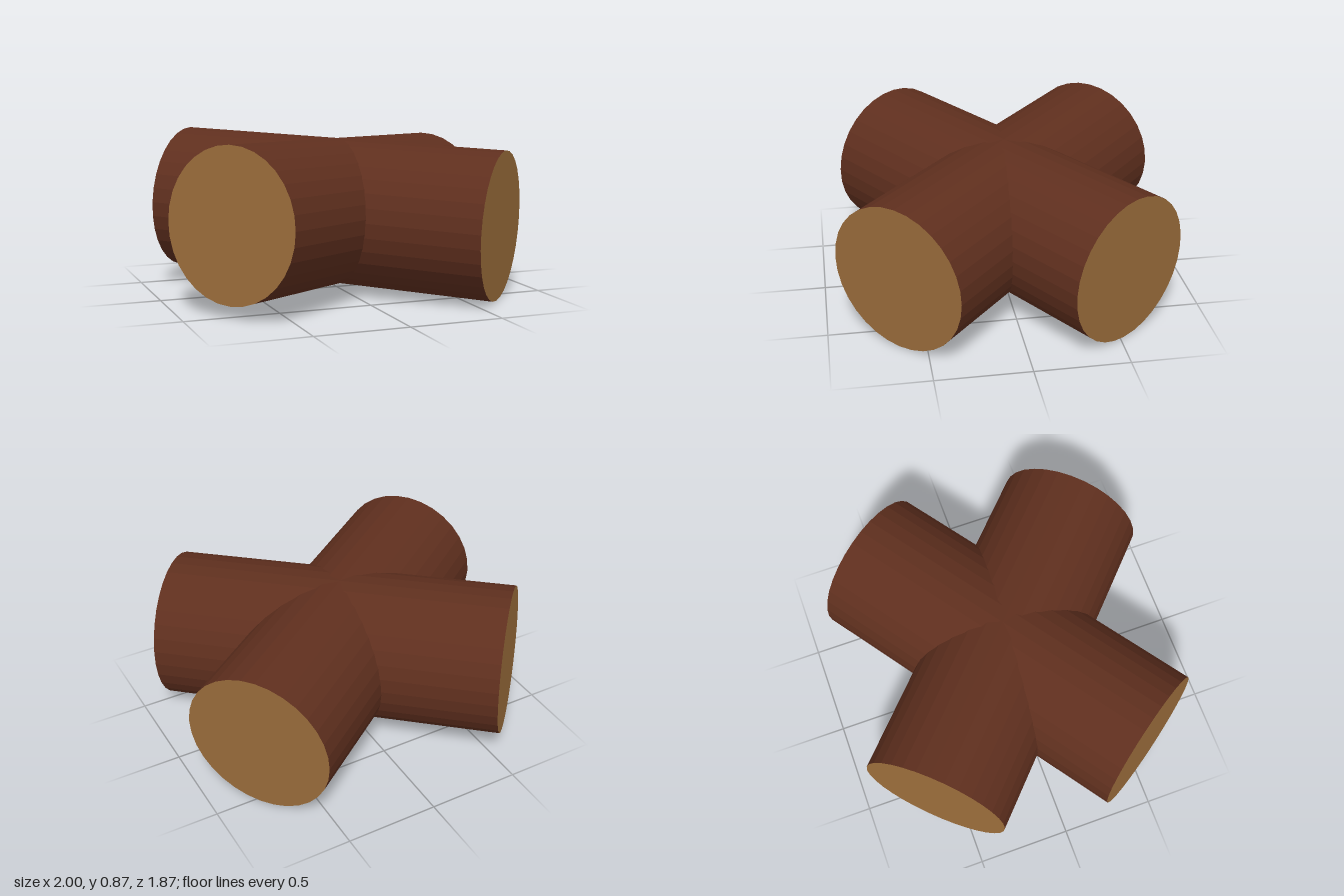
import * as THREE from 'three';

const bark = new THREE.MeshStandardMaterial({ color: 0x5f2f1e, flatShading: true });
const cutWood = new THREE.MeshStandardMaterial({ color: 0x9b6d3b, flatShading: true });
const RADIUS = 0.4;
const SIDES = 32;

// A log between two end centres: bark tube plus a lighter disc on each cut end
function createLog(name, from, to) {
  const axis = to.clone().sub(from);
  const length = axis.length();
  const log = new THREE.Group();
  log.name = name;

  const tube = new THREE.Mesh(
    new THREE.CylinderGeometry(RADIUS, RADIUS, length, SIDES, 1, true), bark);
  tube.name = name + 'Bark';
  log.add(tube);

  for (const end of [1, -1]) {
    const cap = new THREE.Mesh(new THREE.CircleGeometry(RADIUS, SIDES), cutWood);
    cap.name = name + (end > 0 ? 'RightCut' : 'LeftCut');
    cap.rotation.x = -end * Math.PI / 2;
    cap.position.y = end * length / 2;
    log.add(cap);
  }

  log.position.copy(from).add(to).multiplyScalar(0.5);
  log.quaternion.setFromUnitVectors(new THREE.Vector3(0, 1, 0), axis.normalize());
  return log;
}

export function createModel() {
  const group = new THREE.Group();
  group.name = 'crossedLogs';
  // Both logs slope gently down towards +x and cross in the middle
  group.add(
    createLog('backLeftLog', new THREE.Vector3(-0.683, 0.469, -0.641), new THREE.Vector3(0.683, 0.401, 0.641)),
    createLog('frontLeftLog', new THREE.Vector3(-0.768, 0.469, 0.538), new THREE.Vector3(0.768, 0.401, -0.538)),
  );
  return group;
}
